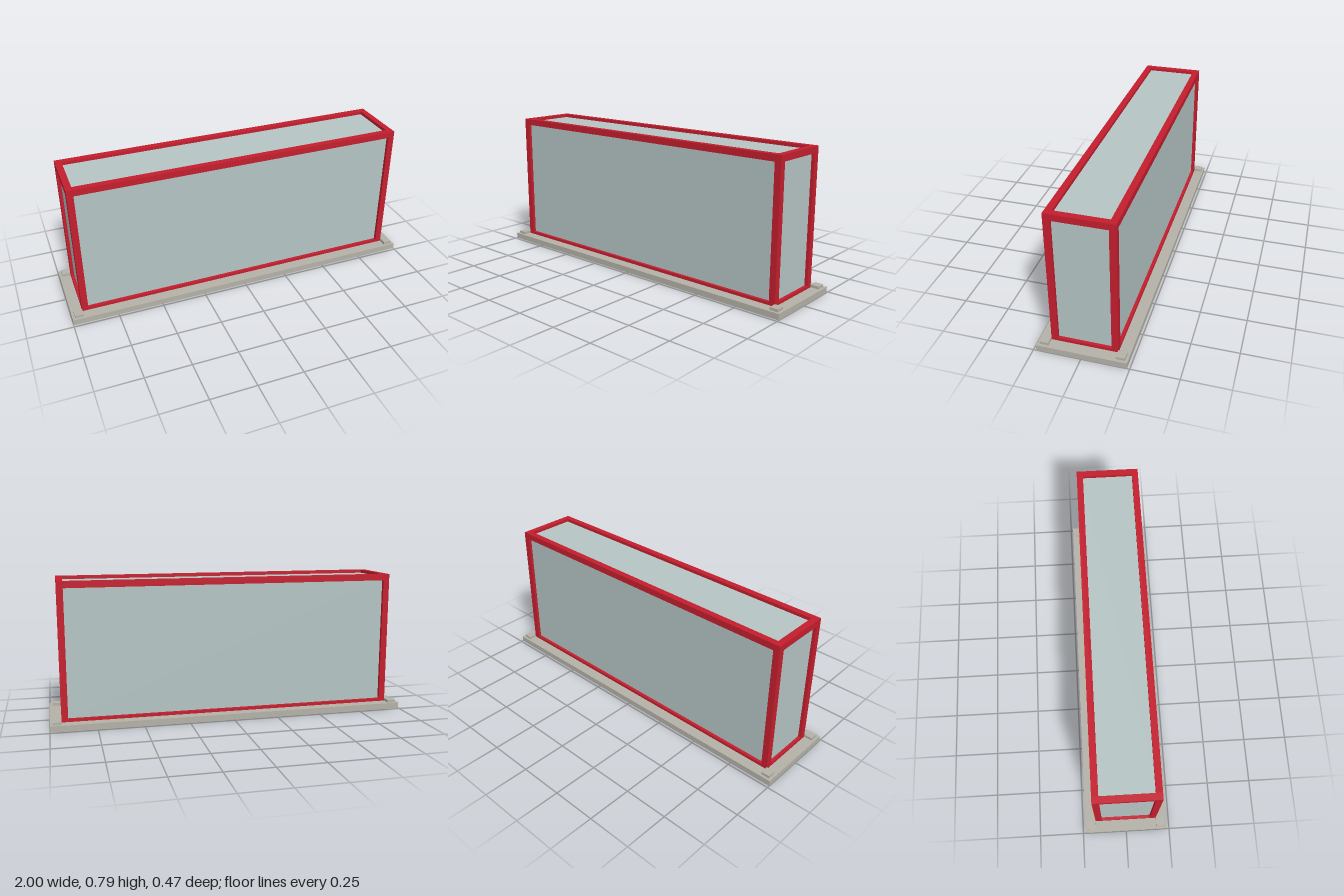
import * as THREE from 'three';

export function createModel() {
  const model = new THREE.Group();
  model.name = 'displayCase';

  const mat = (name, color) => {
    const m = new THREE.MeshStandardMaterial({ color });
    m.name = name;
    return m;
  };
  const red = mat('frameRed', 0xc41e2e);
  const grey = mat('stoneGrey', 0xb4b1a7);
  const glass = mat('paleGlass', 0xb5c4c4);

  // Box given by its size and centre
  const box = (name, material, [w, h, d], [x, y, z], parent = model) => {
    const mesh = new THREE.Mesh(new THREE.BoxGeometry(w, h, d), material);
    mesh.name = name;
    mesh.position.set(x, y, z);
    parent.add(mesh);
  };

  const BASE = 0.033;            // top of the base slab
  const X = 0.938, Z = 0.175;    // outer half extents of the frame
  const TOP = 0.787, BAR = 0.035, SILL = 0.016;

  // Base slab
  box('base', grey, [2, BASE, 0.472], [0, BASE / 2, 0]);

  // Glazed body, set back from the frame faces
  const inset = BAR / 2;
  const bodyH = TOP - inset - BASE;
  box('glassBody', glass, [2 * (X - inset), bodyH, 2 * (Z - inset)], [0, BASE + bodyH / 2, 0]);

  // Frame bars along all edges
  const frame = new THREE.Group();
  frame.name = 'frame';
  model.add(frame);
  const cx = X - BAR / 2, cz = Z - BAR / 2;
  for (const s of [-1, 1]) {
    for (const t of [-1, 1]) {
      box('cornerPost', red, [BAR, TOP - BASE, BAR], [s * cx, (TOP + BASE) / 2, t * cz], frame);
      // Foot block beside each post
      box('footBlock', grey, [0.047, 0.015, 0.047], [s * 0.9615, BASE + 0.0075, t * 0.1985]);
    }
    for (const [label, h, y] of [['topRail', BAR, TOP - BAR / 2], ['bottomRail', SILL, BASE + SILL / 2]]) {
      box(label, red, [2 * (X - BAR), h, BAR], [0, y, s * cz], frame);
      box(label, red, [BAR, h, 2 * (Z - BAR)], [s * cx, y, 0], frame);
    }
  }

  return model;
}
